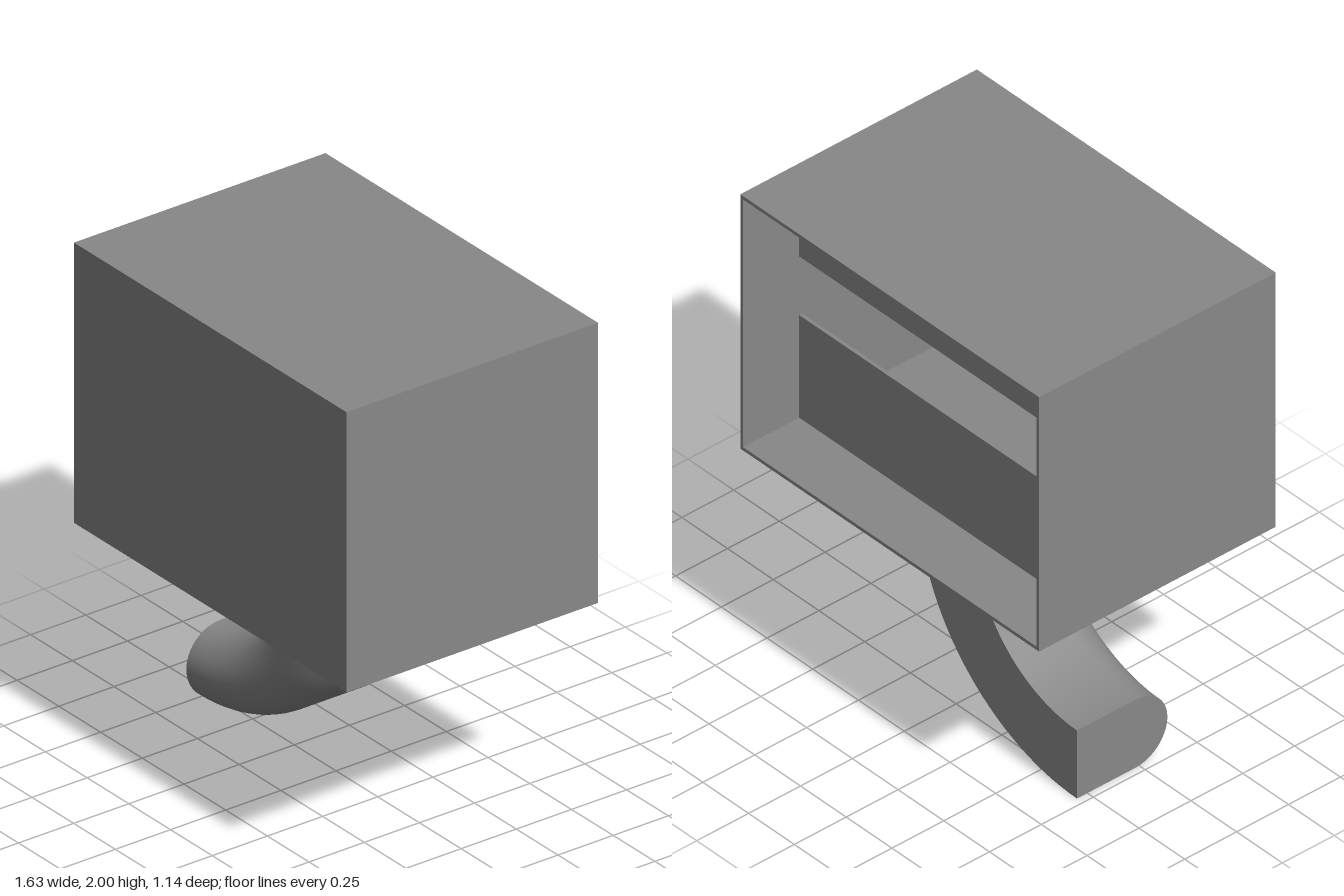
import * as THREE from 'three';
import { toCreasedNormals } from 'three/addons/utils/BufferGeometryUtils.js';

const material = new THREE.MeshStandardMaterial({ color: 0x888888 });

// Box spanning two opposite corners
function slab(name, [x0, y0, z0], [x1, y1, z1]) {
  const geometry = new THREE.BoxGeometry(x1 - x0, y1 - y0, z1 - z0);
  const mesh = new THREE.Mesh(geometry, material);
  mesh.name = name;
  mesh.position.set((x0 + x1) / 2, (y0 + y1) / 2, (z0 + z1) / 2);
  return mesh;
}

// Hollow case, open at the back, with a recessed panel split by a slot
function createCase() {
  const W = 0.817, D = 0.57, Y0 = 0.852, Y1 = 2, t = 0.015;
  const group = new THREE.Group();
  group.name = 'case';
  group.add(
    slab('frontWall', [-W, Y0, D - t], [W, Y1, D]),
    slab('topWall', [-W, Y1 - t, -D], [W, Y1, D - t]),
    slab('floor', [-W, Y0, -D], [W, Y0 + t, D - t]),
    slab('leftWall', [W - t, Y0 + t, -D], [W, Y1 - t, D - t]),
    slab('rightWall', [-W, Y0 + t, -D], [-W + t, Y1 - t, D - t]),
    slab('upperBackPanel', [-W + t, 1.595, -0.3], [W - t, Y1 - t, -0.285]),
    slab('lowerBackPanel', [-W + t, Y0 + t, -0.3], [W - t, 1.33, -0.285])
  );
  return group;
}

// Quarter-circle spout with a flat back and a rounded front
function createSpout() {
  const inner = 0.56, outer = 0.867, back = -0.3, bend = -0.018;
  const r = (outer - inner) / 2, mid = (outer + inner) / 2;
  const profile = [new THREE.Vector2(inner, back), new THREE.Vector2(outer, back)];
  for (let i = 0; i <= 20; i++) {
    const a = (i / 20) * Math.PI;
    profile.push(new THREE.Vector2(mid + r * Math.cos(a), bend + r * Math.sin(a)));
  }

  const sweep = new THREE.LatheGeometry([...profile, profile[0].clone()], 40, 0, Math.PI / 2);
  sweep.rotateX(Math.PI / 2);
  const body = new THREE.Mesh(toCreasedNormals(sweep, 0.6), material);
  body.name = 'spoutBody';

  // Flat end facing -x
  const capGeometry = new THREE.ShapeGeometry(new THREE.Shape(profile));
  capGeometry.applyMatrix4(new THREE.Matrix4().makeBasis(
    new THREE.Vector3(0, -1, 0), new THREE.Vector3(0, 0, 1), new THREE.Vector3(-1, 0, 0)));
  const cap = new THREE.Mesh(capGeometry, material);
  cap.name = 'spoutEnd';

  const group = new THREE.Group();
  group.name = 'spout';
  group.add(body, cap);
  group.position.set(-0.718, outer, 0);
  return group;
}

export function createModel() {
  const model = new THREE.Group();
  model.name = 'caseWithSpout';
  model.add(createCase(), createSpout());
  return model;
}
